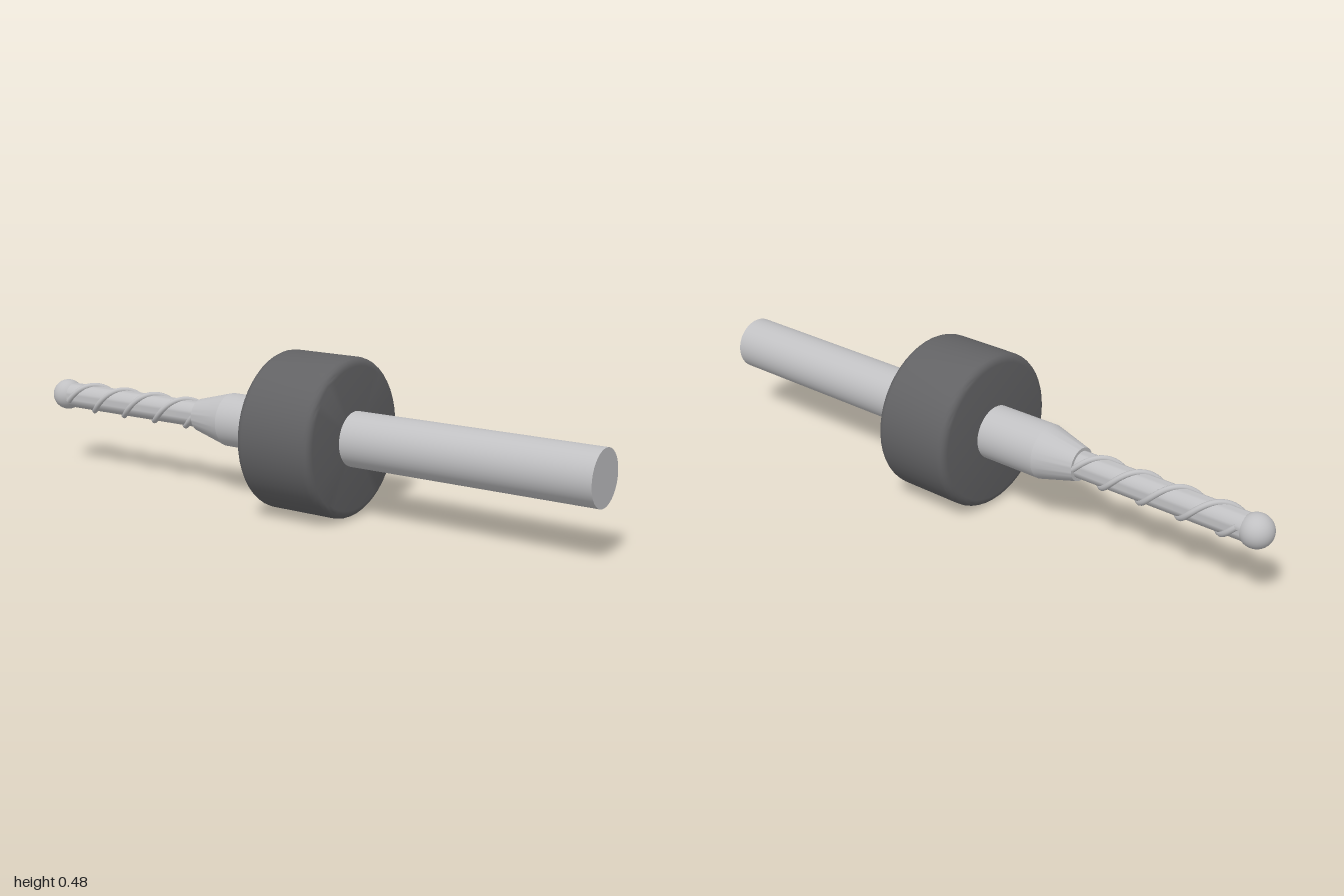
import * as THREE from 'three';
import { toCreasedNormals } from 'three/addons/utils/BufferGeometryUtils.js';

// Helix around the z axis, used as the path of a cutting edge
class Helix extends THREE.Curve {
  constructor(radius, zStart, zEnd, turns, phase) {
    super();
    Object.assign(this, { radius, zStart, zEnd, turns, phase });
  }
  getPoint(t, target = new THREE.Vector3()) {
    const a = this.phase + t * this.turns * Math.PI * 2;
    return target.set(
      this.radius * Math.cos(a),
      this.radius * Math.sin(a),
      THREE.MathUtils.lerp(this.zStart, this.zEnd, t)
    );
  }
}

// Turned solid along z from [radius, z] points listed from back to front
function turned(points, segments = 48) {
  const profile = points.map(([r, z]) => new THREE.Vector2(r, z));
  const geometry = new THREE.LatheGeometry(profile, segments).rotateX(Math.PI / 2);
  return toCreasedNormals(geometry, 0.6);
}

export function createModel() {
  const model = new THREE.Group();
  model.name = 'rotaryCutter';
  const steel = new THREE.MeshStandardMaterial({ color: 0xc0c0c2 });
  steel.name = 'steel';
  const rubber = new THREE.MeshStandardMaterial({ color: 0x626264 });
  rubber.name = 'dark grey collar';

  const tool = new THREE.Group();
  tool.name = 'tool';
  tool.position.y = 0.242;
  model.add(tool);
  const add = (name, geometry, material) => {
    const mesh = new THREE.Mesh(geometry, material);
    mesh.name = name;
    tool.add(mesh);
    return mesh;
  };

  // Straight shank, tapered neck and slim core
  add('shank', turned([[0, -0.25], [0.083, -0.25], [0.083, 1], [0, 1]]), steel);
  add('taperedNeck', turned([[0, -0.372], [0.051, -0.372], [0.083, -0.25], [0, -0.25]]), steel);
  add('core', turned([[0, -0.93], [0.041, -0.93], [0.041, -0.36], [0, -0.36]], 32), steel);

  // Collar with rounded rims
  const R = 0.241, back = -0.05, front = 0.21, fillet = 0.025;
  const profile = [[0, back]];
  for (const [zc, start] of [[back + fillet, -Math.PI / 2], [front - fillet, 0]]) {
    for (let i = 0; i <= 5; i++) {
      const a = start + (i / 5) * Math.PI / 2;
      profile.push([R - fillet + fillet * Math.cos(a), zc + fillet * Math.sin(a)]);
    }
  }
  profile.push([0, front]);
  add('collar', turned(profile), rubber);

  // Two spiral cutting edges, half a turn apart
  for (let i = 0; i < 2; i++) {
    const path = new Helix(0.042, -0.372, -0.91, 2.05, i * Math.PI);
    add('spiralEdge' + (i + 1), new THREE.TubeGeometry(path, 120, 0.009, 10), steel);
  }

  // Ball tip
  add('ballTip', new THREE.SphereGeometry(0.05, 32, 20), steel).position.z = -0.95;

  return model;
}
